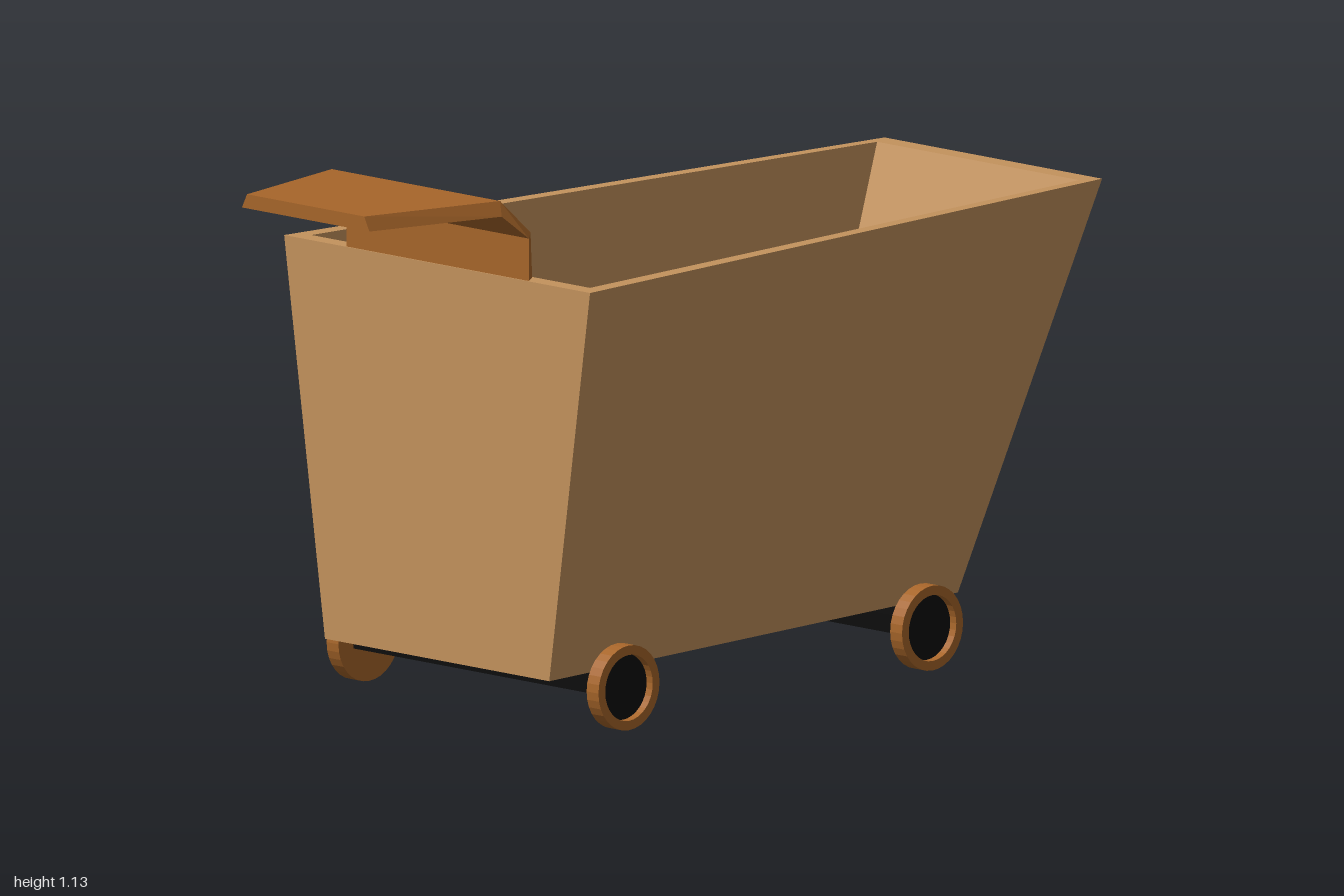
import * as THREE from 'three';

const paint = (color) => new THREE.MeshStandardMaterial({ color, flatShading: true });

// Skins a series of four-cornered rings and closes both ends
function loft(rings) {
  const pos = [];
  const quad = (a, b, c, d) => [a, b, c, a, c, d].forEach((p) => pos.push(...p));
  for (let r = 0; r < rings.length - 1; r++) {
    for (let i = 0; i < 4; i++) {
      const j = (i + 1) % 4;
      quad(rings[r][i], rings[r][j], rings[r + 1][j], rings[r + 1][i]);
    }
  }
  const [a, b, c, d] = rings[0];
  quad(d, c, b, a);
  quad(...rings[rings.length - 1]);
  const geo = new THREE.BufferGeometry();
  geo.setAttribute('position', new THREE.Float32BufferAttribute(pos, 3));
  geo.computeVertexNormals();
  return geo;
}

export function createModel() {
  const model = new THREE.Group();
  model.name = 'cart';
  const lightWood = paint(0xc4935d);
  const darkWood = paint(0xa8662a);
  const black = paint(0x0c0c0c);

  const add = (name, geo, mat, parent = model) => {
    const mesh = new THREE.Mesh(geo, mat);
    mesh.name = name;
    parent.add(mesh);
    return mesh;
  };

  // Tapered open tub: up the outside, over the rim, down the inside
  const level = (y, frontX, frontZ, backX, backZ) => [
    [frontX, y, frontZ], [backX, y, backZ], [-backX, y, backZ], [-frontX, y, frontZ],
  ];
  add('tub', loft([
    level(0.12, 0.33, 0.64, 0.245, -0.65),
    level(0.96, 0.45, 0.64, 0.32, -1),
    level(0.96, 0.41, 0.6, 0.297, -0.955),
    level(0.16, 0.295, 0.6, 0.213, -0.62),
  ]), lightWood);

  // Bent push handle: each section is [outer z, y, left, right, inner z, y, left, right]
  const sections = [
    [0.637, 0.955, 0.267, -0.27, 0.605, 0.955, 0.245, -0.255],
    [0.637, 1.05, 0.267, -0.27, 0.605, 1.055, 0.24, -0.25],
    [0.69, 1.1, 0.24, -0.295, 0.68, 1.13, 0.225, -0.27],
    [1, 1.1, 0.16, -0.215, 1, 1.13, 0.145, -0.2],
  ];
  add('handle', loft(sections.map(([z0, y0, l0, r0, z1, y1, l1, r1]) => [
    [l0, y0, z0], [l1, y1, z1], [r1, y1, z1], [r0, y0, z0],
  ])), darkWood);

  // Wheel profile with a recessed outer face
  const wheelGeo = new THREE.LatheGeometry(
    [[0, 0], [0.09, 0], [0.09, 0.035], [0.07, 0.035], [0.07, 0.012], [0, 0.012]]
      .map(([r, y]) => new THREE.Vector2(r, y)), 32);
  const hubGeo = new THREE.CylinderGeometry(0.07, 0.07, 0.01, 32);

  // Axles with a wheel on each end
  for (const [name, z, left, right] of [['front', 0.475, 0.365, -0.365], ['back', -0.435, 0.35, -0.355]]) {
    const axle = add(name + 'Axle', new THREE.BoxGeometry(left - right, 0.038, 0.09), black);
    axle.position.set((left + right) / 2, 0.097, z);
    for (const [side, x, turn] of [['Left', left, -1], ['Right', right, 1]]) {
      const wheel = new THREE.Group();
      wheel.name = name + side + 'Wheel';
      add('rim', wheelGeo, darkWood, wheel);
      add('hub', hubGeo, black, wheel).position.y = 0.012;
      wheel.rotation.z = turn * Math.PI / 2;
      wheel.position.set(x, 0.093, z);
      model.add(wheel);
    }
  }
  return model;
}
